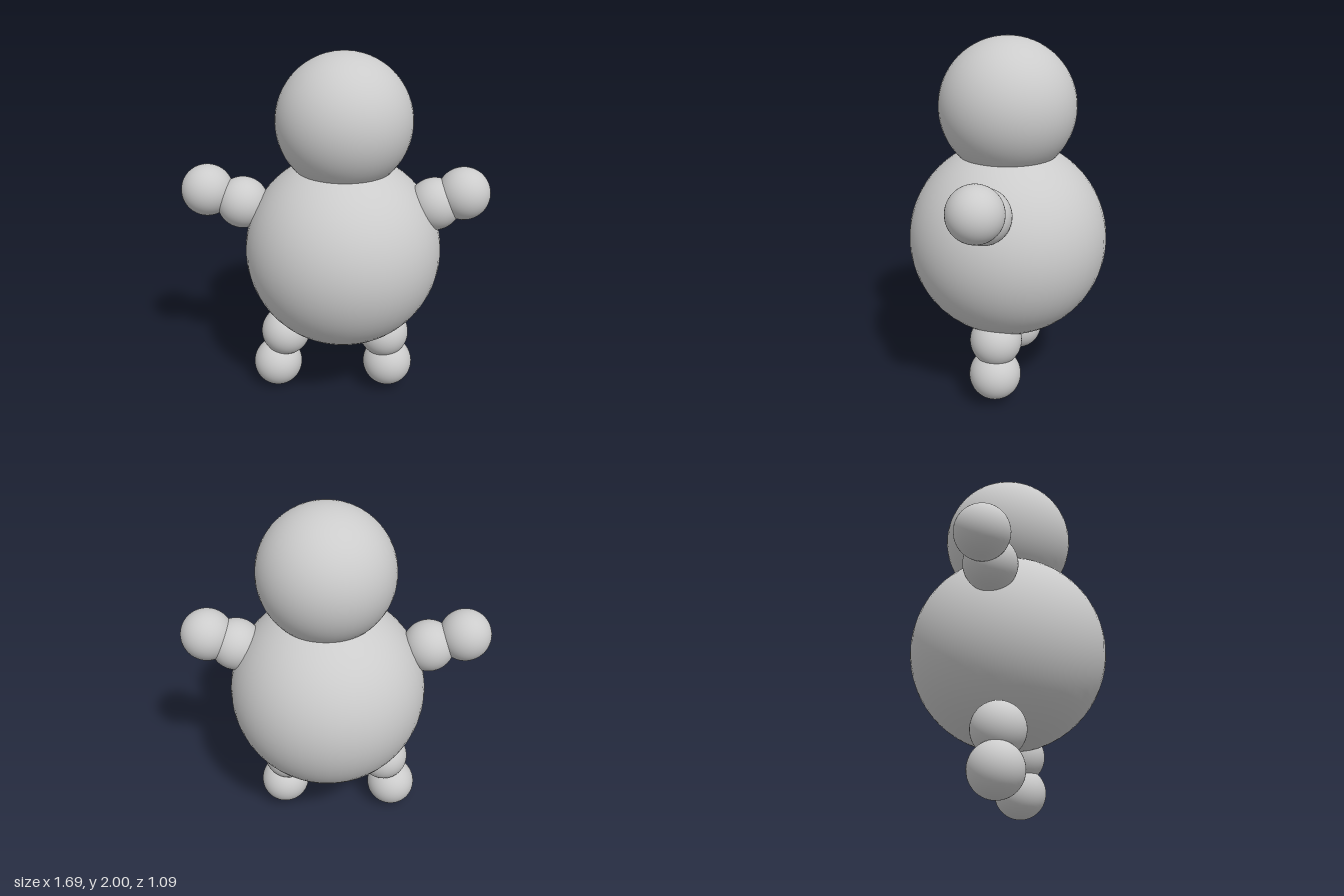
import * as THREE from 'three';

export function createModel() {
  const group = new THREE.Group();
  const material = new THREE.MeshStandardMaterial({ color: 0xcccccc });

  const ball = (name, radius, x, y, z, parent = group) => {
    const mesh = new THREE.Mesh(new THREE.SphereGeometry(radius, 48, 32), material);
    mesh.name = name;
    mesh.position.set(x, y, z);
    parent.add(mesh);
  };

  // Trunk and head
  ball('body', 0.545, 0.047, 0.904, 0);
  ball('head', 0.366, 0.05, 1.634, 0);

  // Each limb is an inner and an outer ball, posed a little unevenly
  const limbs = [
    ['rightArm', 'upperArm', [-0.508, 1.17], 'hand', [-0.703, 1.237]],
    ['leftArm', 'upperArm', [0.545, 1.193], 'hand', [0.697, 1.257]],
    ['rightLeg', 'thigh', [-0.288, 0.362], 'foot', [-0.34, 0.147]],
    ['leftLeg', 'thigh', [0.289, 0.38], 'foot', [0.315, 0.183]],
  ];
  for (const [name, innerName, inner, outerName, outer] of limbs) {
    const limb = new THREE.Group();
    limb.name = name;
    ball(innerName, 0.143, ...inner, 0.016, limb);
    ball(outerName, 0.143, ...outer, 0.016, limb);
    group.add(limb);
  }
  return group;
}
